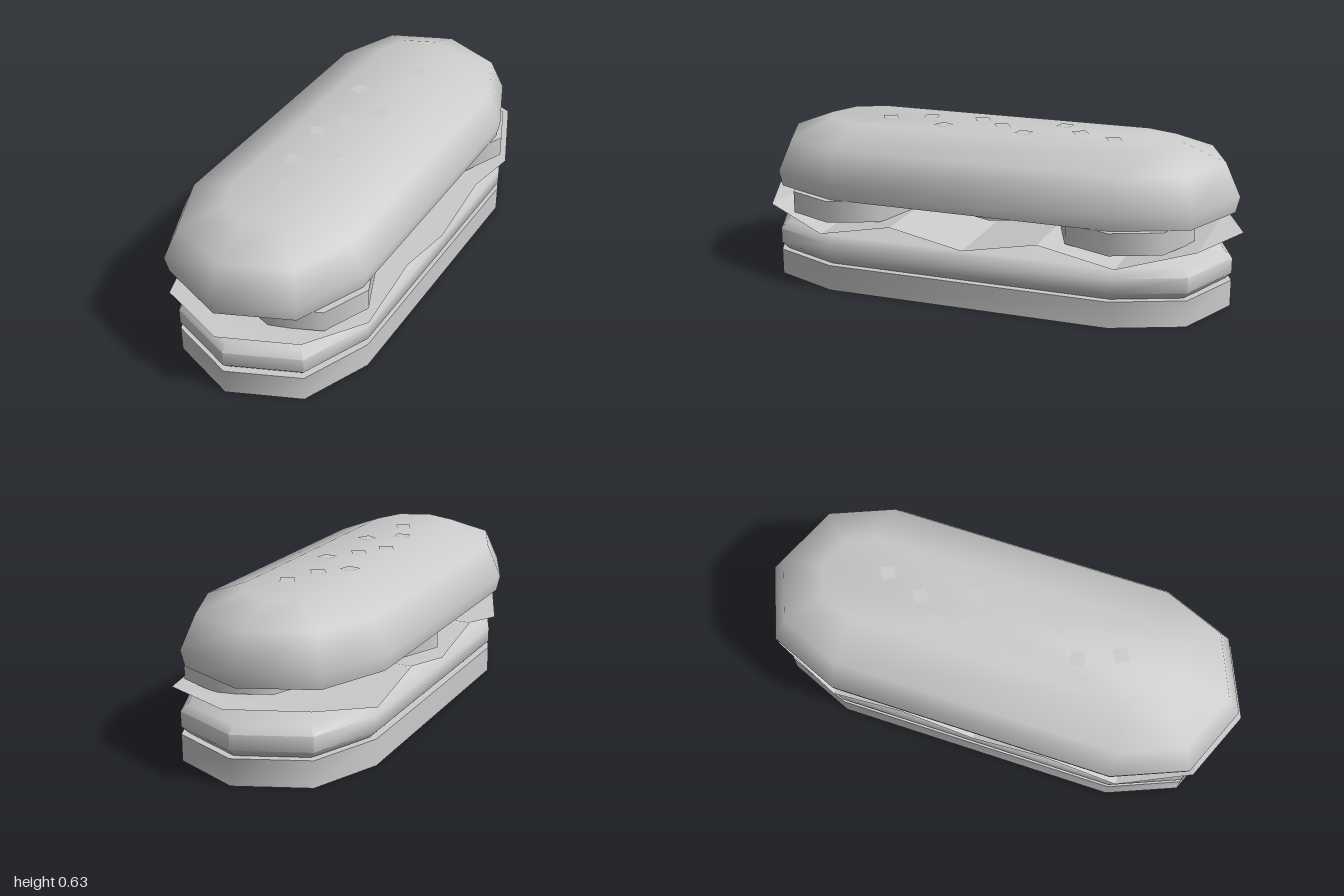
import * as THREE from 'three';
import { toCreasedNormals } from 'three/addons/utils/BufferGeometryUtils.js';

const material = new THREE.MeshStandardMaterial({ color: 0xcccccc });
const thinMaterial = new THREE.MeshStandardMaterial({ color: 0xcccccc, side: THREE.DoubleSide });

function addMesh(group, name, geometry, mat = material) {
  const mesh = new THREE.Mesh(geometry, mat);
  mesh.name = name;
  group.add(mesh);
  return mesh;
}

function indexedGeometry(positions, indices) {
  const geometry = new THREE.BufferGeometry();
  geometry.setAttribute('position', new THREE.Float32BufferAttribute(positions, 3));
  geometry.setIndex(indices);
  return geometry;
}

// Closed solid stacked from rounded-end outlines; profile is [radius, y] from bottom to top
function longLoaf(centreX, halfStraight, profile) {
  const positions = [], indices = [], n = 10;
  for (const [r, y] of profile) {
    for (let j = 0; j < n; j++) {
      const end = j < 5 ? 1 : -1;
      const a = (j < 5 ? j : j - 1) * Math.PI / 4;
      positions.push(centreX + r * Math.cos(a), y, end * halfStraight + r * Math.sin(a));
    }
  }
  const bottom = profile.length * n, top = bottom + 1, last = bottom - n;
  positions.push(centreX, profile[0][1], 0, centreX, profile.at(-1)[1], 0);
  for (let j = 0; j < n; j++) {
    const k = (j + 1) % n;
    for (let i = 0; i < last; i += n) {
      indices.push(i + j, i + n + j, i + k, i + k, i + n + j, i + n + k);
    }
    indices.push(bottom, j, k, top, last + k, last + j);
  }
  return toCreasedNormals(indexedGeometry(positions, indices), 1.0);
}

// Corrugated leaf made of straight rows across x; rows are [z, half width, y]
function leafSheet(centreX, rows) {
  const positions = [], indices = [];
  rows.forEach(([z, w, y], i) => {
    positions.push(centreX - w, y, z, centreX + w, y, z);
    if (i > 0) {
      const a = 2 * i - 2;
      indices.push(a, a + 1, a + 2, a + 1, a + 3, a + 2);
    }
  });
  return toCreasedNormals(indexedGeometry(positions, indices), 0.1);
}

export function createModel() {
  const group = new THREE.Group();
  group.name = 'sandwich';

  // Bread and filling
  addMesh(group, 'bottomBun', longLoaf(0.0125, 0.575, [[0.387, 0], [0.387, 0.105]]));
  addMesh(group, 'patty', longLoaf(0.0125, 0.575,
    [[0.357, 0.105], [0.387, 0.135], [0.387, 0.195], [0.357, 0.223]]));
  addMesh(group, 'topBun', longLoaf(-0.015, 0.57,
    [[0.39, 0.372], [0.405, 0.435], [0.345, 0.565], [0.175, 0.63]]));

  // Wavy lettuce, symmetric front to back
  const half = [[1, 0, 0.303], [0.88, 0.285, 0.3], [0.6, 0.403, 0.24], [0.3, 0.403, 0.3]];
  const mirrored = half.map(([z, w, y]) => [-z, w, y]);
  const rows = [...mirrored, [0, 0.403, 0.24], ...half.reverse()];
  addMesh(group, 'lettuce', leafSheet(0.0125, rows), thinMaterial);

  // Tomato slices, the middle one shifted sideways
  [[0.135, 0.575], [-0.11, -0.015], [0.135, -0.57]].forEach(([x, z], i) => {
    const slice = addMesh(group, `tomatoSlice${i + 1}`, new THREE.CylinderGeometry(0.266, 0.266, 0.087, 8));
    slice.position.set(x, 0.3285, z);
  });

  // Flat seeds on the top bun: x, z, turn
  const seeds = [
    [0.035, -0.485, 0.5], [-0.015, -0.335, 0.6], [-0.105, -0.245, -0.2],
    [0.055, -0.125, -0.15], [-0.025, -0.005, 0.6], [-0.095, 0.105, 0.5],
    [0.045, 0.22, -0.5], [-0.07, 0.32, 0.15], [-0.005, 0.475, 0.5],
  ];
  const seedGeometry = new THREE.PlaneGeometry(0.056, 0.056).rotateX(-Math.PI / 2);
  seeds.forEach(([x, z, turn], i) => {
    const seed = addMesh(group, `seed${i + 1}`, seedGeometry, thinMaterial);
    seed.position.set(x, 0.632, z);
    seed.rotation.y = turn;
  });

  return group;
}
